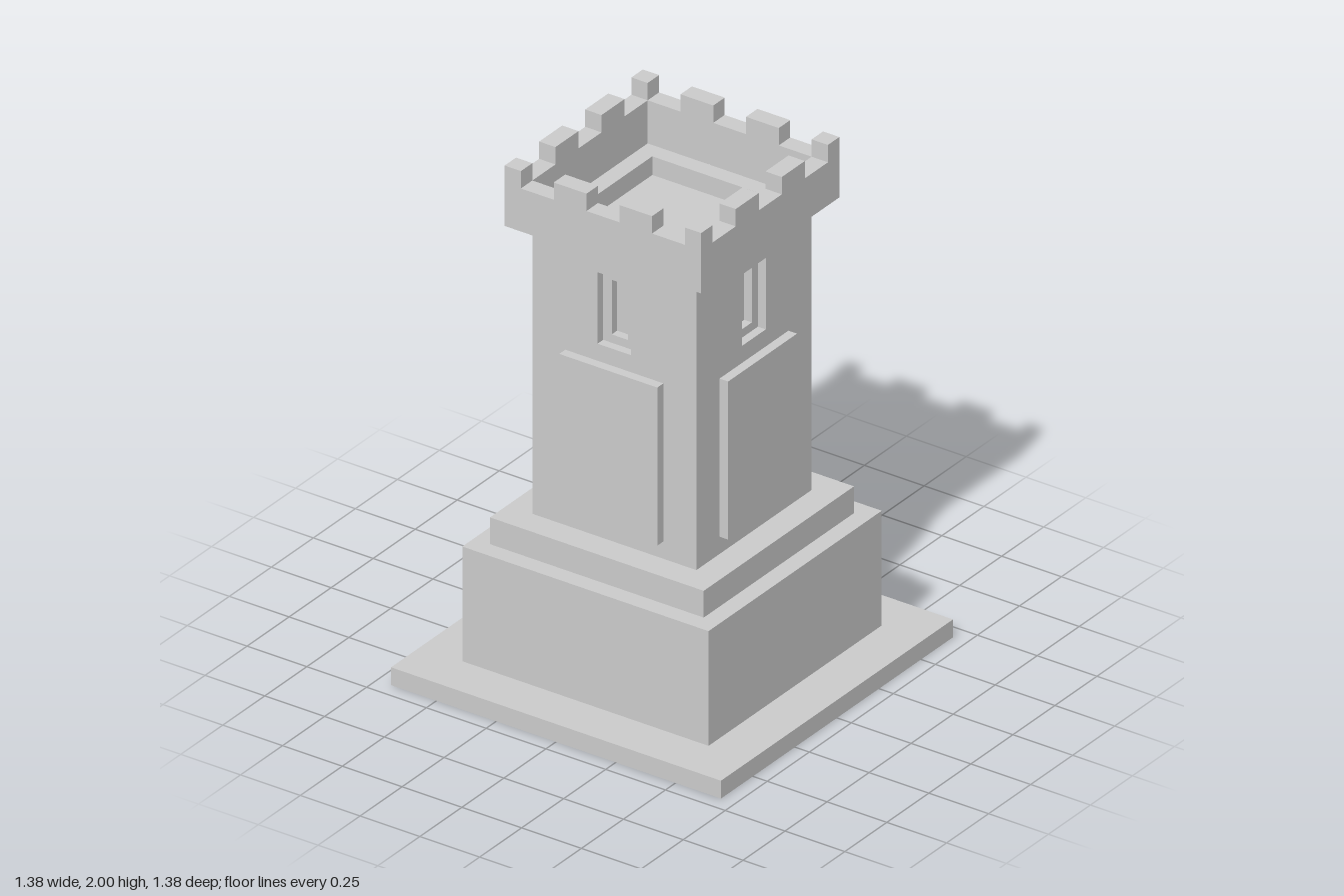
import * as THREE from 'three';

const material = new THREE.MeshStandardMaterial({ color: 0xcccccc, flatShading: true });

function add(parent, name, geometry, x = 0, y = 0, z = 0) {
  const mesh = new THREE.Mesh(geometry, material);
  mesh.name = name;
  mesh.position.set(x, y, z);
  parent.add(mesh);
  return mesh;
}

// Box resting on y0, centred on x and z
function block(parent, name, w, y0, y1, d, x = 0, z = 0) {
  return add(parent, name, new THREE.BoxGeometry(w, y1 - y0, d), x, (y0 + y1) / 2, z);
}

function rect(Type, x0, y0, x1, y1) {
  const r = new Type();
  r.moveTo(x0, y0).lineTo(x1, y0).lineTo(x1, y1).lineTo(x0, y1).closePath();
  return r;
}

// Flat plate with a rectangular hole
function holedPlate(outer, hole, depth) {
  const shape = rect(THREE.Shape, ...outer);
  shape.holes.push(rect(THREE.Path, ...hole));
  return new THREE.ExtrudeGeometry(shape, { depth, bevelEnabled: false });
}

export function createModel() {
  const tower = new THREE.Group();
  tower.name = 'tower';

  // Stepped foundation
  block(tower, 'baseSlab', 1.38, 0, 0.07, 1.38);
  block(tower, 'plinth', 1.03, 0.07, 0.52, 1.03);
  block(tower, 'plinthStep', 0.894, 0.52, 0.625, 0.894);

  // Shaft core; its top is the sunken roof floor
  const shaft = 0.343, mid = 0.31, core = 0.278;
  const bottom = 0.625, top = 1.763;
  block(tower, 'shaftCore', core * 2, bottom, 1.69, core * 2);

  const outer = 0.411, inner = 0.343, notch = 1.932;
  const wall = outer - inner;

  for (let i = 0; i < 4; i++) {
    const side = new THREE.Group();
    side.name = 'side' + (i + 1);
    side.rotation.y = i * Math.PI / 2;
    tower.add(side);

    // Two wall layers: wide window recess, then the narrow slit
    add(side, 'outerWall', holedPlate([-shaft, bottom, mid, top],
      [-0.07, 1.38, 0.07, 1.66], shaft - mid), 0, 0, mid);
    add(side, 'innerWall', holedPlate([-mid, bottom, core, top],
      [-0.034, 1.413, 0.034, 1.627], mid - core), 0, 0, core);

    // Raised panel
    block(side, 'wallPanel', 0.41, 0.693, 1.313, 0.036, 0, shaft + 0.018);

    // Battlements: one corner and two middle merlons per side
    block(side, 'cornerMerlon', wall, notch, 2, wall, -outer + wall / 2, outer - wall / 2);
    for (const s of [-1, 1]) {
      block(side, 'merlon', 0.137, notch, 2, wall, s * 0.137, outer - wall / 2);
    }
  }

  // Parapet ring
  const ring = holedPlate([-outer, -outer, outer, outer],
    [-inner, -inner, inner, inner], notch - top);
  ring.rotateX(-Math.PI / 2);
  add(tower, 'parapet', ring, 0, top, 0);

  return tower;
}
